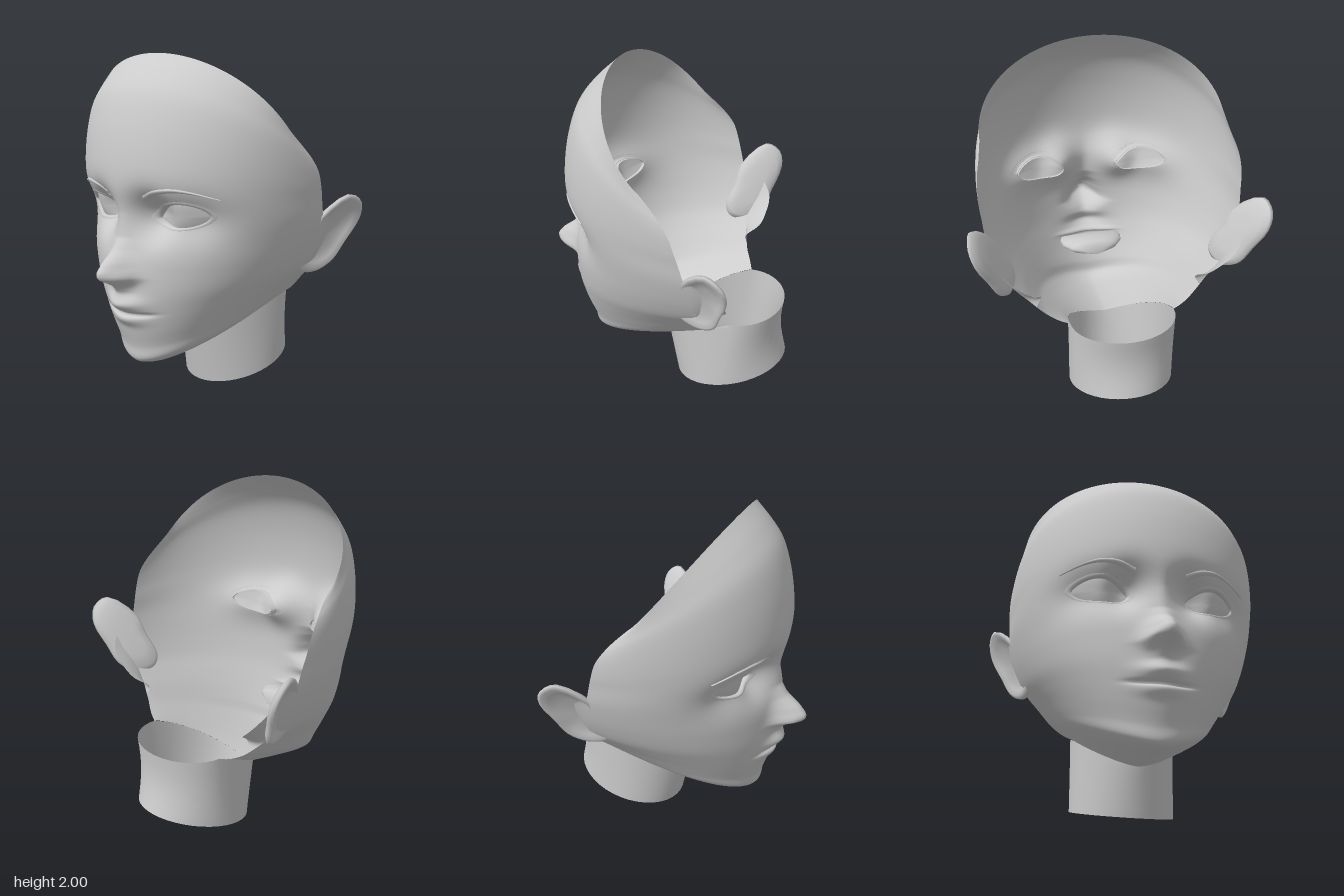
import * as THREE from 'three';
import { mergeVertices } from 'three/addons/utils/BufferGeometryUtils.js';

const material = new THREE.MeshStandardMaterial({ color: 0xcccccc, side: THREE.DoubleSide });
const V = (x, y, z) => new THREE.Vector3(x, y, z);
const bell = (d, s) => Math.exp(-((d / s) ** 2));

// Smooth mesh over a grid of points; skip(points) can leave a triangle out
function gridMesh(name, rows, cols, point, skip = () => false) {
  const pts = [], index = [];
  for (let i = 0; i <= rows; i++) for (let j = 0; j <= cols; j++) pts.push(point(i, j));
  const face = (...t) => { if (!skip(t.map(k => pts[k]))) index.push(...t); };
  for (let i = 0; i < rows; i++) {
    for (let j = 0; j < cols; j++) {
      const a = i * (cols + 1) + j, b = a + cols + 1;
      face(a, b, a + 1);
      face(a + 1, b, b + 1);
    }
  }
  let geo = new THREE.BufferGeometry().setFromPoints(pts);
  geo.setIndex(index);
  geo = mergeVertices(geo, 1e-5);
  geo.computeVertexNormals();
  const mesh = new THREE.Mesh(geo, material);
  mesh.name = name;
  return mesh;
}

// Head sections from the top rim to the neck: centre y, centre z, then rim x, y, z
const SECTIONS = [
  [2.0, .31, .71, 1.57, -.03], [1.90, .42, .73, 1.49, -.11], [1.80, .50, .747, 1.43, -.16],
  [1.64, .56, .757, 1.36, -.205], [1.45, .595, .757, 1.27, -.235], [1.30, .60, .75, 1.2, -.255],
  [1.15, .575, .74, 1.1, -.28], [1.0, .565, .715, 1.0, -.30], [.85, .57, .68, .9, -.32],
  [.70, .568, .635, .81, -.34], [.58, .552, .585, .75, -.35], [.46, .525, .535, .70, -.36],
  [.35, .49, .49, .655, -.375], [.27, .475, .45, .62, -.39], [.243, .42, .41, .595, -.41],
  [.25, .25, .365, .575, -.43], [.28, 0, .31, .56, -.45],
];

function sectionPoint(i, angle) {
  const [yc, zc, xr, yr, zr] = SECTIONS[i];
  const c = Math.max(0, Math.cos(angle));
  const lift = (1 - c) ** (1 - .2 * THREE.MathUtils.smoothstep(i, 6, 13));
  return V(xr * Math.sin(angle), yc + (yr - yc) * lift, zr + (zc - zr) * c ** .88);
}

// Nose: height and half width of the ridge going down the face
const NOSE = [[1.14, 0, .05], [1.0, .015, .06], [.93, .06, .07], [.87, .135, .08], [.82, .175, .088],
  [.785, .168, .092], [.76, .115, .08], [.73, .06, .065], [.69, .025, .05], [.64, 0, .05]];

function noseHeight(x, y) {
  for (let i = 0; i < NOSE.length - 1; i++) {
    const [y0, h0, w0] = NOSE[i], [y1, h1, w1] = NOSE[i + 1];
    if (y <= y0 && y > y1) {
      const t = (y0 - y) / (y0 - y1);
      return THREE.MathUtils.lerp(h0, h1, t) * bell(x, THREE.MathUtils.lerp(w0, w1, t));
    }
  }
  return 0;
}

// Forward offset of the face: nose, nostril wings, eye sockets, lips
function relief(x, y) {
  const ax = Math.abs(x);
  const lip = Math.exp(-((ax / .18) ** 4));
  const line = .562 + .4 * x * x;
  return noseHeight(x, y)
    + .02 * bell(ax - .075, .03) * bell(y - .79, .03)
    - (.12 * bell(ax - .19, .11) + .06 * bell(ax - .4, .14)) * bell(y - 1.12, .12)
    + .058 * bell(x, .12) * bell(y - line - .06, .045)
    - .024 * lip * bell(y - line, .011)
    + .028 * bell(x, .12) * bell(y - line + .035, .035);
}

function faceColumn(u) {
  const curve = new THREE.CatmullRomCurve3(SECTIONS.map((_, i) => sectionPoint(i, u * Math.PI / 2)));
  return v => {
    const p = curve.getPoint(v);
    p.z += relief(p.x, p.y) * THREE.MathUtils.smoothstep(p.z, .1, .3);
    return p;
  };
}

// Point on the face in front of a given x, y
function onFace(x, y, lift = 0) {
  let u = x, v = .4, p;
  for (let k = 0; k < 50; k++) {
    p = faceColumn(u)(v);
    u += (x - p.x) * .6;
    v = THREE.MathUtils.clamp(v - (y - p.y) * .3, 0, 1);
  }
  return V(x, y, p.z + lift);
}

// Almond eye outline
const EYE = { x: .32, y: 1.13, w: .155 };
const eyeHeight = s => (s > 0 ? .075 : .06) * Math.sign(s) * Math.abs(s) ** 1.3;
function eyePoint(side, a, scale, lift) {
  const x = EYE.x + EYE.w * scale * Math.cos(a);
  return onFace(side * x, EYE.y + scale * eyeHeight(Math.sin(a)) + .1 * (x - EYE.x), lift);
}
function inEye(p) {
  const dx = Math.abs(p.x) - EYE.x, c = dx / EYE.w, dy = p.y - EYE.y - .1 * dx;
  return p.z > .1 && Math.abs(c) < 1 && Math.abs(dy) < Math.abs(eyeHeight(Math.sign(dy) * Math.sqrt(1 - c * c)));
}

function createEye(side) {
  const group = new THREE.Group(), n = 40;
  group.name = side > 0 ? 'leftEye' : 'rightEye';
  const angle = j => -side * (j % n) / n * Math.PI * 2;
  // Eyelid rim: outline scale and lift
  const lid = [[1.24, -.001], [1.14, .003], [1.03, .003], [.98, -.004], [.96, -.035]];
  group.add(gridMesh('eyelid', lid.length - 1, n, (i, j) => eyePoint(side, angle(j), ...lid[i])));
  group.add(gridMesh('eyeball', 6, n, (i, j) => {
    const r = 1 - i / 6;
    return eyePoint(side, angle(j), r, -.02 + .025 * (1 - r * r));
  }));
  return group;
}

function createBrow(side) {
  const path = new THREE.CatmullRomCurve3([V(.145, 1.225, 0), V(.22, 1.262, 0), V(.33, 1.283, 0), V(.42, 1.275, 0), V(.54, 1.24, 0)]);
  return gridMesh(side > 0 ? 'leftBrow' : 'rightBrow', 4, 24, (i, j) => {
    const t = side > 0 ? j / 24 : 1 - j / 24, p = path.getPoint(t);
    const half = .017 * (1 - t) ** .7 + .001;
    return onFace(side * p.x, p.y + half * (1 - i / 2), [0, .008, .01, .008, 0][i]);
  });
}

// Ear outline in z, y
const EAR = [[-.27, 1.10], [-.41, 1.22], [-.50, 1.17], [-.525, 1.07], [-.48, .93], [-.44, .82],
  [-.37, .765], [-.30, .755], [-.23, .78], [-.20, .85], [-.24, .98]];

function createEar(side) {
  const group = new THREE.Group();
  group.name = side > 0 ? 'leftEar' : 'rightEar';
  const outline = new THREE.CatmullRomCurve3(EAR.map(([z, y]) => V(0, y, z)), true);
  // Scale of the outline and outward offset, from the hollow over the edge to the back
  const rings = [[0, -.03], [.5, -.028], [.75, -.01], [.9, .008], [1, 0], [1, -.02], [.85, -.045], [.5, -.055], [0, -.055]];
  const n = 33;
  group.add(gridMesh('earShell', rings.length - 1, n, (i, j) => {
    const [scale, out] = rings[i];
    const p = outline.getPoint(((side > 0 ? n - j : j) % n) / n);
    const y = .98 + (p.y - .98) * scale, z = -.36 + (p.z + .36) * scale;
    return V(side * (.74 + .35 * (y - 1.1) - .37 * (z + .27) + out), y, z);
  }));
  // Strip of head skin behind the ear, from the rim of the face backwards
  const rim = new THREE.CatmullRomCurve3(SECTIONS.slice(6, 13).map(([, , x, y, z]) => V(x, y, z)));
  const back = new THREE.CatmullRomCurve3([V(.745, 1.1, -.32), V(.71, 1.0, -.43), V(.66, .92, -.48),
    V(.58, .84, -.475), V(.51, .78, -.45), V(.46, .715, -.37), V(.49, .655, -.375)]);
  group.add(gridMesh('earBase', 18, 4, (i, j) => {
    const p = rim.getPoint(i / 18).lerp(back.getPoint(i / 18), side > 0 ? j / 4 : 1 - j / 4);
    return V(side * p.x, p.y, p.z);
  }));
  return group;
}

// Flat pocket behind the lips, narrowing to a point inside the head
function createMouthPocket() {
  // z, half width, half height
  const rings = [[.47, .19, .012], [.42, .205, .04], [.36, .195, .05], [.3, .15, .045], [.21, 0, 0]];
  const n = 24;
  return gridMesh('mouthPocket', rings.length - 1, n, (i, j) => {
    const [z, w, h] = rings[i], a = (j % n) / n * Math.PI * 2;
    return V(w * Math.cos(a), .575 + h * Math.sin(a), z);
  });
}

function createNeck() {
  const n = 40, rows = 6;
  return gridMesh('neck', rows, n, (i, j) => {
    const a = (j % n) / n * Math.PI * 2, c = Math.cos(a), s = Math.sin(a);
    // The front half of the top edge follows the underside of the jaw
    const top = c > 0 ? sectionPoint(SECTIONS.length - 1, Math.asin(s)) : V(.31 * s, .56 - .01 * c, -.45 + .26 * c);
    const bottom = V(.31 * s, .095 - .095 * c, -.4 + .34 * c);
    const t = i / rows, p = top.lerp(bottom, t);
    if (c < 0) p.z -= .025 * c * Math.sin(t * Math.PI);
    return p;
  });
}

export function createModel() {
  const model = new THREE.Group();
  model.name = 'head';

  // Open face shell with holes for the eyes
  const cols = 96, rows = 208;
  const columns = Array.from({ length: cols + 1 }, (_, j) => faceColumn(2 * j / cols - 1));
  model.add(gridMesh('face', rows, cols, (i, j) => columns[j](i / rows), t => t.some(inEye)));

  for (const side of [1, -1]) model.add(createEye(side), createBrow(side), createEar(side));
  model.add(createMouthPocket(), createNeck());
  return model;
}
